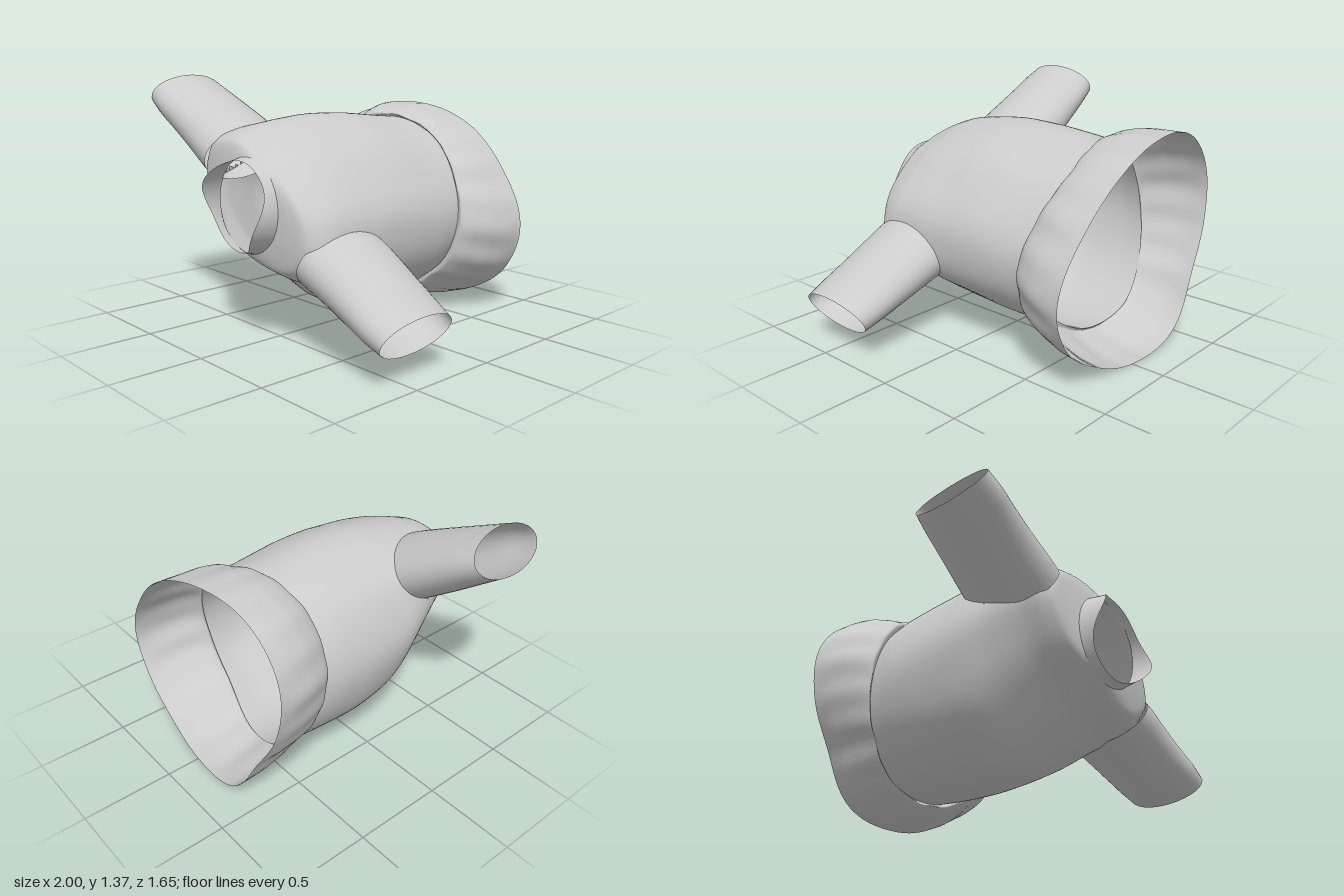
import * as THREE from 'three';

const material = new THREE.MeshStandardMaterial({ color: 0xcccccc, side: THREE.DoubleSide });

// Open tube surface: point(s, angle) gives a Vector3 for s in 0..1; isHole(point) cuts openings
function shell(name, rows, cols, point, isHole = () => false) {
  const pts = [], index = [];
  for (let i = 0; i <= rows; i++)
    for (let j = 0; j < cols; j++) pts.push(point(i / rows, (j / cols) * Math.PI * 2));
  for (let i = 0; i < rows; i++)
    for (let j = 0; j < cols; j++) {
      const k = (j + 1) % cols;
      const a = i * cols + j, b = i * cols + k, c = a + cols, d = b + cols;
      if (!isHole(pts[a]) || !isHole(pts[d])) index.push(a, b, d, a, d, c);
    }
  const geo = new THREE.BufferGeometry().setFromPoints(pts);
  geo.setIndex(index);
  geo.computeVertexNormals();
  const mesh = new THREE.Mesh(geo, material);
  mesh.name = name;
  return mesh;
}

// Smooth interpolation through rings [position along axis, centre, half width, half height]
function ringCurve(rings) {
  const sizes = new THREE.CatmullRomCurve3(rings.map(r => new THREE.Vector3(r[2], r[3], r[1])), false, 'catmullrom', 0.4);
  const axis = new THREE.CatmullRomCurve3(rings.map(r => new THREE.Vector3(r[0], 0, 0)), false, 'catmullrom', 0.4);
  return s => {
    const q = sizes.getPoint(s);
    return { at: axis.getPoint(s).x, c: q.z, a: q.x, b: q.y };
  };
}

// Radial factors every 30 degrees, joined by a smooth closed curve
function outline(factors) {
  const curve = new THREE.CatmullRomCurve3(factors.map(f => new THREE.Vector3(f, 0, 0)), true, 'catmullrom', 0.5);
  return t => curve.getPoint(t / (Math.PI * 2)).x;
}
const bodyOutline = outline([0.96, 0.98, 0.94, 0.96, 1.03, 1.06, 1.03, 1.01, 1.01, 1.03, 1.02, 0.92]);
const hemOutline = outline([0.98, 1.03, 0.97, 0.98, 1.01, 1.07, 1.04, 0.95, 0.9, 1.04, 0.98, 0.93]);

// The waist seam lies further forward at the sides
const sideLift = t => Math.abs(Math.cos(t)) ** 1.5;

export function createModel() {
  // Local frame: x runs along the sleeves, z from hem to neck
  const group = new THREE.Group();
  group.name = 'garment';
  group.rotation.z = -0.5;
  group.position.y = 0.75;

  // Bodice: oval tube, belly side tapering to a flat shoulder line, with armholes
  const body = ringCurve([
    [-0.53, -0.15, 0.53, 0.49],
    [-0.35, -0.15, 0.55, 0.5],
    [-0.1, -0.14, 0.56, 0.515],
    [0.1, -0.122, 0.565, 0.5],
    [0.22, -0.1, 0.57, 0.465],
    [0.36, -0.055, 0.56, 0.4],
    [0.5, -0.015, 0.545, 0.33],
    [0.6, -0.005, 0.52, 0.285],
    [0.66, 0, 0.45, 0.262],
    [0.682, 0, 0.34, 0.252],
    [0.695, 0, 0.25, 0.245],
  ]);
  const armhole = p => Math.abs(p.x) > 0.44 && Math.hypot((p.z - 0.42) / 0.235, (p.y + 0.015) / 0.15) < 1;
  group.add(shell('bodice', 60, 120, (s, t) => {
    const r = body(s);
    const fold = 1 + 0.008 * Math.sin(t * 9 + 1) * Math.sin(Math.PI * s);
    const f = fold * THREE.MathUtils.lerp(bodyOutline(t), 1, THREE.MathUtils.smoothstep(s, 0.3, 0.7));
    const waist = 0.12 * sideLift(t) * Math.max(0, 1 - s * 5);
    return new THREE.Vector3(r.a * f * Math.cos(t), r.c + r.b * f * Math.sin(t), r.at + waist);
  }, armhole));

  // Skirt: flared band, gathered and tucked into the waist seam
  const skirt = ringCurve([
    [-0.83, -0.17, 0.69, 0.56],
    [-0.74, -0.165, 0.678, 0.557],
    [-0.64, -0.155, 0.65, 0.545],
    [-0.55, -0.15, 0.603, 0.525],
    [-0.51, -0.15, 0.56, 0.505],
    [-0.53, -0.15, 0.53, 0.49],
  ]);
  group.add(shell('skirt', 24, 120, (s, t) => {
    const r = skirt(s);
    const gather = 1 + (0.012 * Math.sin(t * 19) + 0.008 * Math.sin(t * 11 + 2)) * s * (1 - s) * 3;
    const f = gather * THREE.MathUtils.lerp(hemOutline(t), bodyOutline(t), s);
    const lift = THREE.MathUtils.lerp(0.05, 0.12, s) * sideLift(t);
    return new THREE.Vector3(0.01 * (1 - s) + r.a * f * Math.cos(t), r.c + r.b * f * Math.sin(t), r.at + lift);
  }));

  // Collar: short ring rising to a point on each shoulder side
  group.add(shell('collar', 4, 64, (s, t) => {
    const radius = 0.25 - 0.015 * s;
    const top = 0.745 + 0.08 * Math.abs(Math.cos(t)) ** 5;
    return new THREE.Vector3(radius * Math.cos(t), radius * Math.sin(t), THREE.MathUtils.lerp(0.69, top, s));
  }));

  // Sleeves: flattened tubes, narrowing towards open cuffs
  const sleeve = ringCurve([
    [0.45, 0.42, 0.262, 0.18],
    [0.53, 0.42, 0.265, 0.175],
    [0.66, 0.425, 0.256, 0.165],
    [0.82, 0.435, 0.248, 0.15],
    [0.96, 0.445, 0.245, 0.135],
    [1.073, 0.45, 0.232, 0.124],
  ]);
  for (const [name, side, drop] of [['leftSleeve', 1, -0.035], ['rightSleeve', -1, 0]])
    group.add(shell(name, 16, 40, (s, t) => {
      const r = sleeve(s);
      const v = drop * (1 - s) + 0.012 * s + r.b * Math.sin(t);
      return new THREE.Vector3(side * r.at, v, r.c - side * r.a * Math.cos(t));
    }));

  const model = new THREE.Group();
  model.name = 'model';
  model.add(group);
  return model;
}
